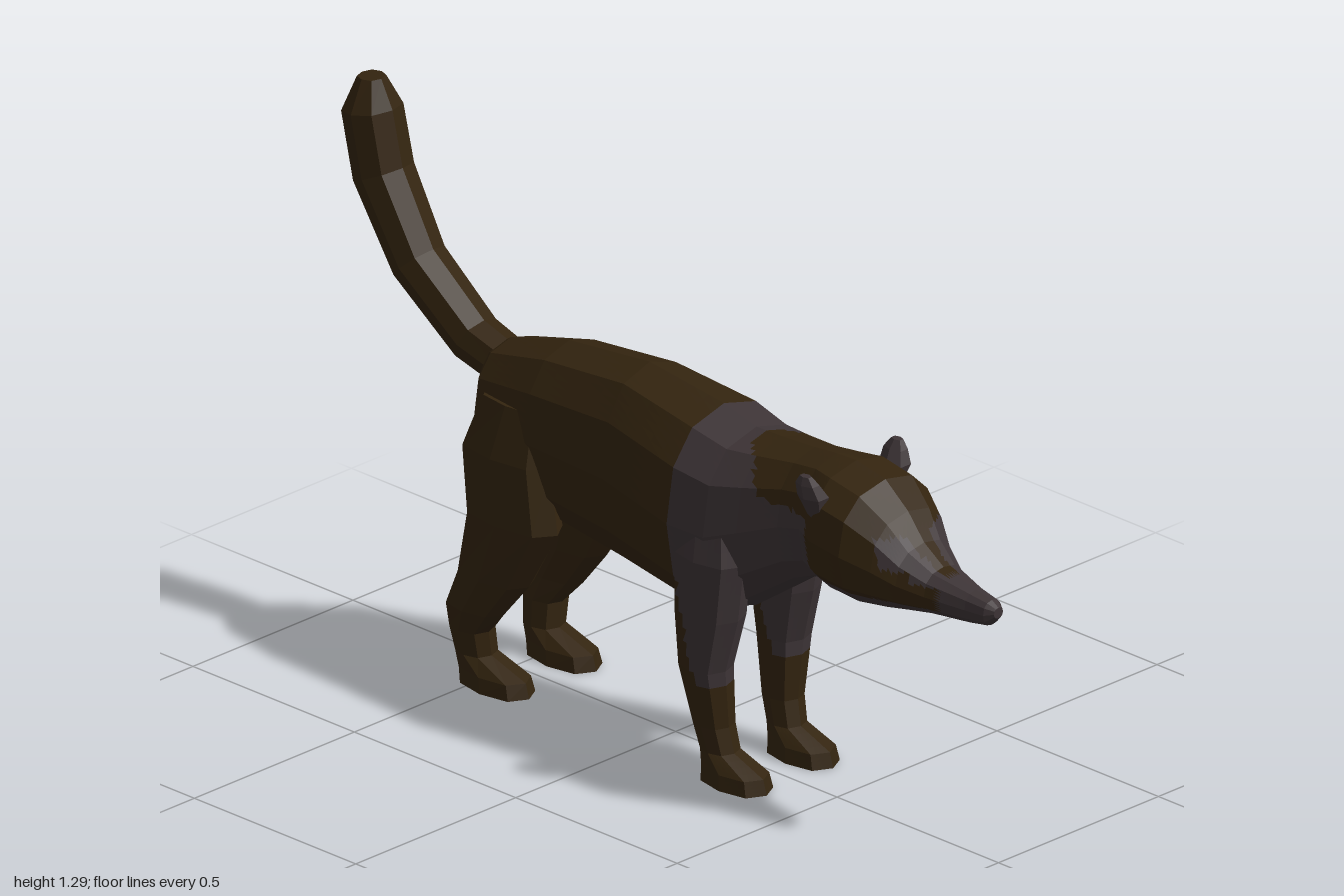
import * as THREE from 'three';

const brown = new THREE.MeshStandardMaterial({ name: 'dark brown fur', color: 0x33240f, flatShading: true });
const grey = new THREE.MeshStandardMaterial({ name: 'grey fur', color: 0x3d3436, flatShading: true });

// Ring of points; section = [x, y, z, half width, half depth, tilt of the depth axis]
function ring([x, y, z, rx, r, tilt], sides, power) {
  const soft = v => Math.sign(v) * Math.pow(Math.abs(v), power);
  return Array.from({ length: sides }, (_, i) => {
    const a = (i / sides) * Math.PI * 2;
    const u = r * soft(Math.sin(a));
    return new THREE.Vector3(x + rx * soft(Math.cos(a)), y + u * Math.cos(tilt), z + u * Math.sin(tilt));
  });
}

// Faceted skin over sections, with closed ends. isGrey(point) picks the fur colour;
// each facet is split into div x div cells so markings can cross it.
function loft(name, sections, { sides = 8, power = 0.85, div = 1, isGrey = () => false } = {}) {
  const first = [...sections[0]], last = [...sections[sections.length - 1]];
  first[3] = first[4] = last[3] = last[4] = 0;
  const rings = [first, ...sections, last].map(s => ring(s, sides, power));
  const cells = [[], []];
  const addTri = (a, b, c) => {
    const n = b.clone().sub(a).cross(c.clone().sub(a));
    if (n.length() < 1e-9) return;
    const mid = a.clone().add(b).add(c).divideScalar(3);
    const list = cells[isGrey(mid) ? 1 : 0];
    for (const p of [a, b, c]) list.push(p.x, p.y, p.z);
  };
  for (let i = 0; i < rings.length - 1; i++) {
    for (let j = 0; j < sides; j++) {
      const k = (j + 1) % sides;
      const at = (s, t) => rings[i][j].clone().lerp(rings[i][k], s / div)
        .lerp(rings[i + 1][j].clone().lerp(rings[i + 1][k], s / div), t / div);
      for (let s = 0; s < div; s++) for (let t = 0; t < div; t++) {
        const a = at(s, t), b = at(s + 1, t), c = at(s + 1, t + 1), d = at(s, t + 1);
        addTri(a, b, c);
        addTri(a, c, d);
      }
    }
  }
  const geo = new THREE.BufferGeometry();
  geo.setAttribute('position', new THREE.Float32BufferAttribute(cells[0].concat(cells[1]), 3));
  geo.addGroup(0, cells[0].length / 3, 0);
  geo.addGroup(cells[0].length / 3, cells[1].length / 3, 1);
  geo.computeVertexNormals();
  const mesh = new THREE.Mesh(geo, [brown, grey]);
  mesh.name = name;
  return mesh;
}

// Fur markings on torso, neck and face
function bodyMarking({ x, y, z }) {
  const ax = Math.abs(x);
  if (z < 0.155) return false;
  if (z < 0.28) return true;                                       // shoulder band
  if (z < 0.53) return !(y > 0.72 && ax < 0.035 + (z - 0.27) * 0.9); // neck, dark nape
  if (z > 0.86) return true;                                       // snout
  if (y < 0.575) return true;                                      // throat
  if (z > 0.79 && y > 0.63) return ax > 0.02;                      // snout sides
  return z > 0.68 && y > 0.655 && y < 0.72 && ax > 0.03 && ax < 0.105; // brow patches
}

export function createModel() {
  const model = new THREE.Group();

  // Torso, neck and head: [z, top, bottom, half width]
  const body = [
    [-0.54, 0.77, 0.56, 0.07], [-0.51, 0.79, 0.49, 0.115], [-0.33, 0.84, 0.43, 0.14],
    [-0.08, 0.867, 0.395, 0.148], [0.15, 0.84, 0.37, 0.18], [0.25, 0.815, 0.385, 0.168],
    [0.33, 0.817, 0.44, 0.145], [0.43, 0.823, 0.51, 0.118], [0.5, 0.83, 0.54, 0.12],
    [0.56, 0.832, 0.535, 0.148], [0.65, 0.815, 0.53, 0.148], [0.72, 0.76, 0.537, 0.118],
    [0.77, 0.7, 0.545, 0.09], [0.83, 0.66, 0.553, 0.062], [0.93, 0.637, 0.56, 0.036],
    [0.98, 0.628, 0.568, 0.028], [1.0, 0.615, 0.59, 0.014],
  ].map(([z, top, low, w]) => [0, (top + low) / 2, z, w, (top - low) / 2, 0]);
  model.add(loft('body', body, { sides: 12, div: 5, isGrey: bodyMarking }));

  // Tail: [y, z, radius], rings set square to the path
  const path = [[0.715, -0.48, 0.052], [0.755, -0.62, 0.056], [0.885, -0.795, 0.06],
    [1.065, -0.905, 0.065], [1.21, -0.94, 0.064], [1.285, -0.942, 0.03]];
  const tail = path.map(([y, z, r], i) => {
    const p = path[Math.max(i - 1, 0)], n = path[Math.min(i + 1, path.length - 1)];
    return [0, y, z, r * 1.05, r, Math.atan2(p[0] - n[0], n[1] - p[1])];
  });
  model.add(loft('tail', tail));

  // Limb sections: [y, x, half width, back z, front z]
  const limb = (rows, side) => rows.map(([y, x, w, back, front]) =>
    [side * x, y, (back + front) / 2, w, (front - back) / 2, Math.PI / 2]);
  const foreleg = [
    [0.68, 0.11, 0.04, 0.14, 0.3], [0.54, 0.12, 0.063, 0.14, 0.33], [0.4, 0.118, 0.063, 0.14, 0.31],
    [0.27, 0.122, 0.054, 0.155, 0.275], [0.13, 0.108, 0.042, 0.18, 0.272],
    [0.07, 0.104, 0.04, 0.198, 0.285], [0.035, 0.104, 0.052, 0.2, 0.375], [0, 0.104, 0.057, 0.2, 0.385],
  ];
  const hindleg = [
    [0.7, 0.09, 0.04, -0.5, -0.3], [0.58, 0.11, 0.058, -0.54, -0.28], [0.43, 0.117, 0.063, -0.515, -0.25],
    [0.28, 0.122, 0.058, -0.535, -0.335], [0.19, 0.125, 0.05, -0.57, -0.41],
    [0.13, 0.115, 0.044, -0.567, -0.465], [0.07, 0.106, 0.042, -0.558, -0.465],
    [0.035, 0.105, 0.052, -0.552, -0.36], [0, 0.105, 0.057, -0.545, -0.35],
  ];
  const ear = [
    [0.735, 0.115, 0.02, 0.53, 0.575], [0.785, 0.128, 0.03, 0.515, 0.59],
    [0.815, 0.138, 0.02, 0.515, 0.575], [0.835, 0.143, 0.01, 0.53, 0.56],
  ];
  const shoulder = ({ y, z }) => y > 0.235 && z > 0.155 + Math.max(0, 0.5 - y) * 0.3;
  for (const [label, side] of [['left', 1], ['right', -1]]) {
    // sections run downward for limbs
    model.add(loft(label + 'FrontLeg', limb(foreleg, side), { power: 0.8, div: 4, isGrey: shoulder }));
    model.add(loft(label + 'HindLeg', limb(hindleg, side), { power: 0.8 }));
    model.add(loft(label + 'Ear', limb([...ear].reverse(), side), { sides: 6, isGrey: () => true }));
  }
  return model;
}
